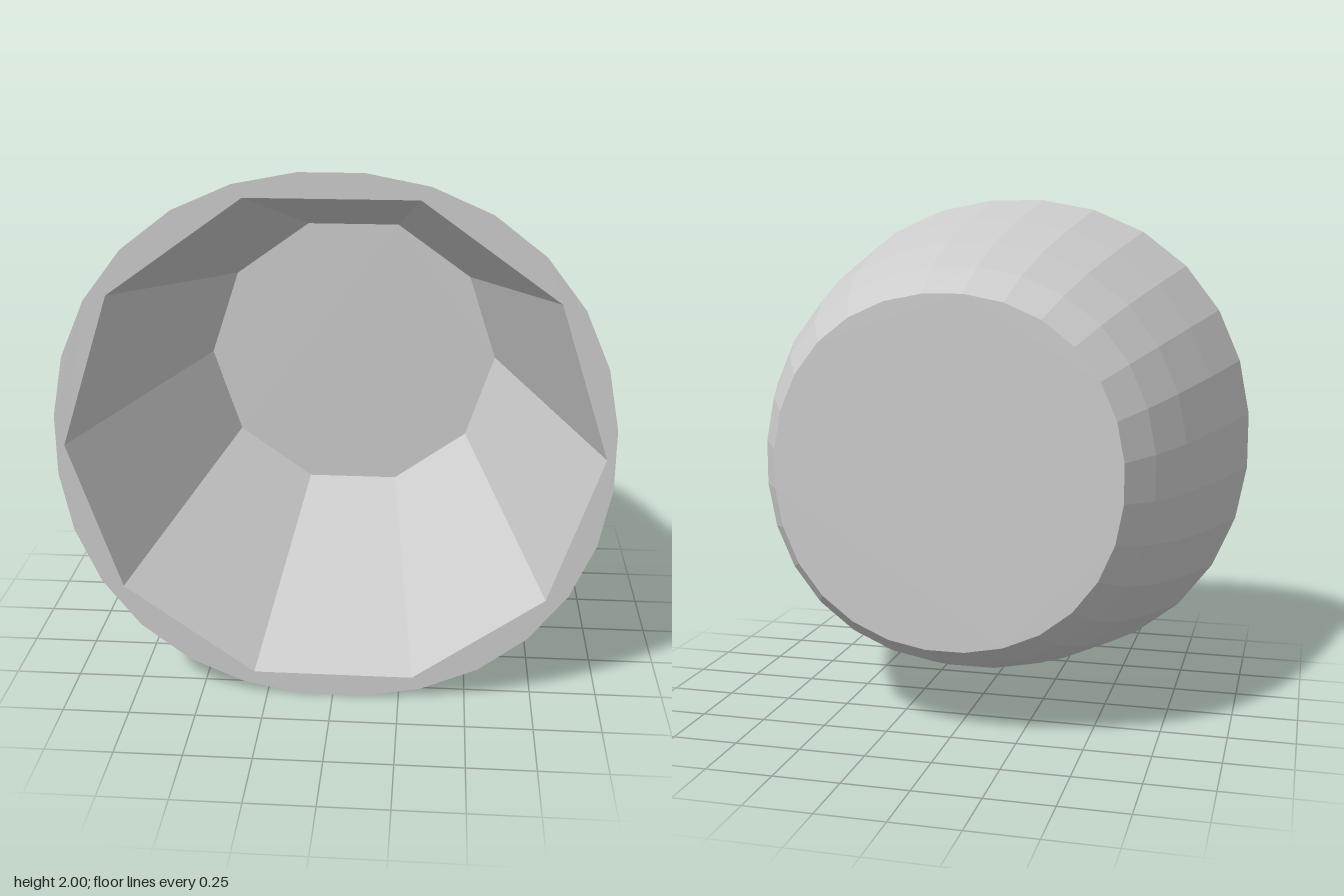
import * as THREE from 'three';

const FRONT = 0.575, BACK = -0.575, FLOOR = -0.55;

// Outer outline: 28 flats, very slightly squared at the diagonals
function outerRing(r) {
  const n = 28;
  return Array.from({ length: n }, (_, i) => {
    const t = ((i + 0.5) / n) * Math.PI * 2;
    const k = r * (1 / Math.cos(Math.PI / n) + 0.02 * Math.sin(2 * t) ** 2);
    return new THREE.Vector2(
      THREE.MathUtils.clamp(k * Math.cos(t), -r, r),
      THREE.MathUtils.clamp(k * Math.sin(t), -r, r));
  });
}

// Inner outline: ten sides, with corners on the x axis
function innerRing(r) {
  return Array.from({ length: 10 }, (_, i) => {
    const t = (i / 10) * Math.PI * 2;
    return new THREE.Vector2(r * Math.cos(t), 0.988 * r * Math.sin(t));
  });
}

// Skin through rings; faces point outward when z decreases, inward when it increases
function loft(rings) {
  const n = rings[0].points.length, position = [], index = [];
  rings.forEach(({ points, z }) => points.forEach(p => position.push(p.x, p.y, z)));
  for (let i = 0; i < rings.length - 1; i++) {
    for (let j = 0; j < n; j++) {
      const a = i * n + j, b = i * n + (j + 1) % n;
      index.push(a, a + n, b, b, a + n, b + n);
    }
  }
  const geometry = new THREE.BufferGeometry();
  geometry.setAttribute('position', new THREE.Float32BufferAttribute(position, 3));
  geometry.setIndex(index);
  geometry.computeVertexNormals();
  return geometry;
}

export function createModel() {
  const group = new THREE.Group();
  group.name = 'cup';
  const material = new THREE.MeshStandardMaterial({ color: 0xcccccc, flatShading: true });
  const add = (name, geometry, z = 0) => {
    const mesh = new THREE.Mesh(geometry, material);
    mesh.name = name;
    mesh.position.set(0, 1, z);
    group.add(mesh);
    return mesh;
  };

  // Curved outer wall, front to back
  const profile = [[FRONT, 1], [0.15, 0.91], [-0.2, 0.82], [-0.43, 0.735], [BACK, 0.645]];
  add('outerWall', loft(profile.map(([z, r]) => ({ z, points: outerRing(r) }))));

  // Flat closed back
  const back = add('backCap', new THREE.ShapeGeometry(new THREE.Shape(outerRing(0.645))), BACK);
  back.rotation.y = Math.PI;

  // Ten-sided recess and its floor
  add('innerWall', loft([
    { z: FLOOR, points: innerRing(0.615) },
    { z: FRONT, points: innerRing(0.97) },
  ]));
  add('innerFloor', new THREE.ShapeGeometry(new THREE.Shape(innerRing(0.615))), FLOOR);

  // Flat front rim between round outside and ten-sided opening
  const rim = new THREE.Shape(outerRing(1));
  rim.holes.push(new THREE.Path(innerRing(0.97)));
  add('rim', new THREE.ShapeGeometry(rim), FRONT);

  return group;
}
